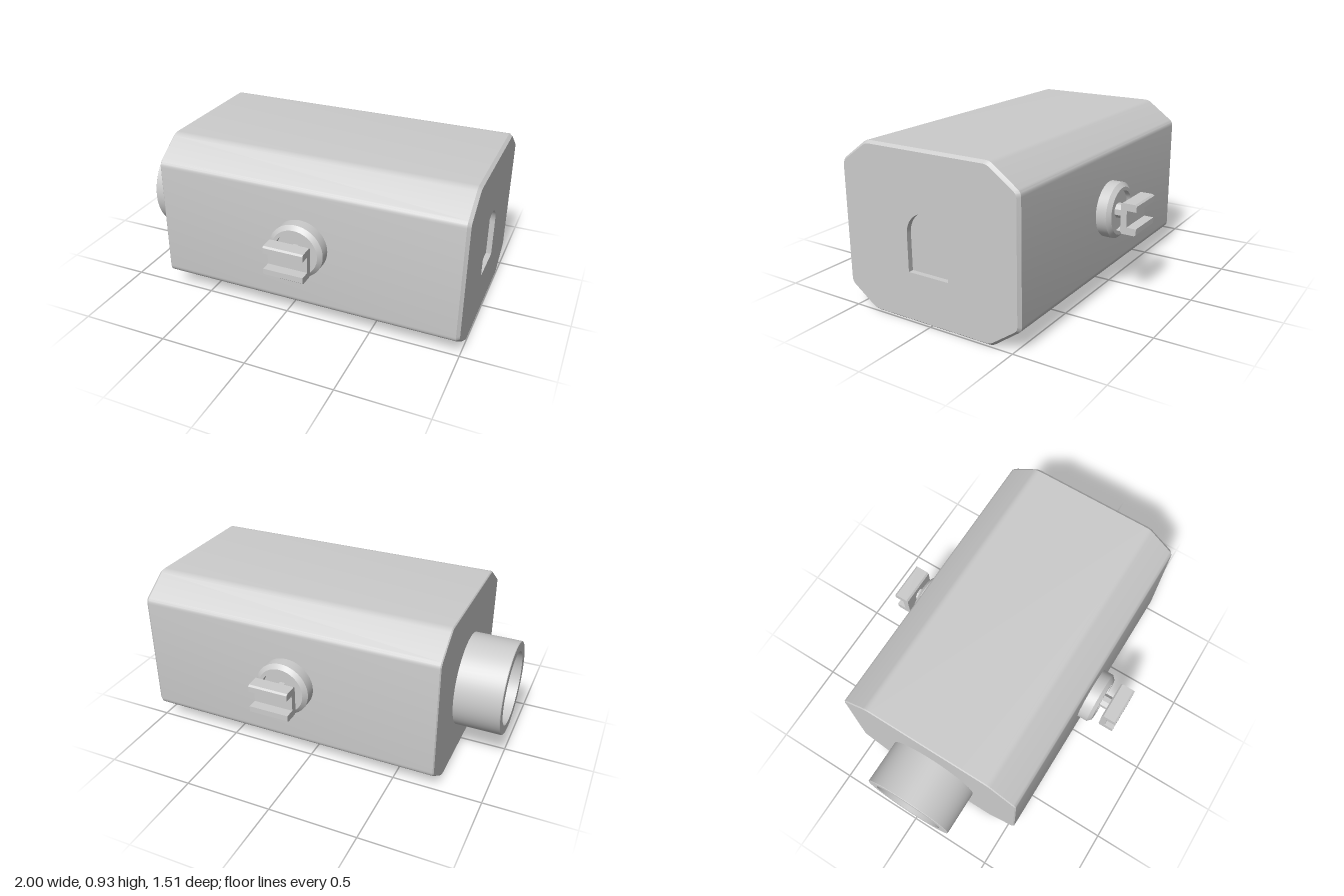
import * as THREE from 'three';
import { toCreasedNormals, mergeGeometries } from 'three/addons/utils/BufferGeometryUtils.js';

const V = (x, y) => new THREE.Vector2(x, y);

// Octagonal body section, inset by d, with softly rounded corners
function octagon(d) {
  const cy = 0.4625, w = 0.543 - d, h = cy - d, cw = 0.375 - d * 0.4, ch = 0.34 - d * 0.4;
  const c = [V(w, -ch), V(w, ch), V(cw, h), V(-cw, h), V(-w, ch), V(-w, -ch), V(-cw, -h), V(cw, -h)];
  return c.flatMap((p, i) => {
    const toward = (q) => p.clone().add(q.clone().sub(p).setLength(0.022));
    const a = toward(c[(i + 7) % 8]), b = toward(c[(i + 1) % 8]);
    return new THREE.QuadraticBezierCurve(a, p, b).getPoints(4).map((q) => V(q.x, q.y + cy));
  });
}

// Arched outline, anticlockwise
function arch(r, bottom, spring) {
  const pts = [V(-r, bottom), V(r, bottom)];
  for (let i = 0; i <= 24; i++) {
    const a = (i / 24) * Math.PI;
    pts.push(V(r * Math.cos(a), spring + r * Math.sin(a)));
  }
  return pts;
}

// Skin between outlines, given as [points, z]
function loft(rings) {
  const pos = [];
  for (let k = 0; k + 1 < rings.length; k++) {
    const [p, z] = rings[k], [q, y] = rings[k + 1], n = p.length;
    for (let i = 0; i < n; i++) {
      const j = (i + 1) % n;
      const a = [p[i].x, p[i].y, z], b = [p[j].x, p[j].y, z];
      const c = [q[j].x, q[j].y, y], d = [q[i].x, q[i].y, y];
      pos.push(...a, ...b, ...c, ...a, ...c, ...d);
    }
  }
  const g = new THREE.BufferGeometry();
  g.setAttribute('position', new THREE.Float32BufferAttribute(pos, 3));
  return g;
}

// Flat face with an optional hole
function face(points, hole) {
  const s = new THREE.Shape(points);
  if (hole) s.holes.push(new THREE.Path(hole));
  const g = new THREE.ShapeGeometry(s).toNonIndexed();
  g.deleteAttribute('uv');
  g.deleteAttribute('normal');
  return g;
}

const lathe = (pts, n) =>
  toCreasedNormals(new THREE.LatheGeometry(pts.map(([r, y]) => V(r, y)), n), 0.5);

export function createModel() {
  const model = new THREE.Group();
  const mat = new THREE.MeshStandardMaterial({ color: 0xcccccc });
  const add = (parent, name, geo) => {
    const m = new THREE.Mesh(geo, mat);
    m.name = name;
    parent.add(m);
    return m;
  };

  // Housing, with a shallow arched recess at one end and a bore at the other
  const left = -0.74, right = 1, floor = 0.97;
  const window = arch(0.125, 0.275, 0.48);
  const bore = new THREE.Path().absarc(0, 0.42, 0.21, 0, Math.PI * 2).getPoints(48);
  const body = mergeGeometries([
    loft([[octagon(0.006), left], [octagon(0), left + 0.006], [octagon(0), right - 0.018], [octagon(0.014), right]]),
    face(octagon(0.014), window).translate(0, 0, right),
    loft([[window, right], [window, floor]]),
    face(window).translate(0, 0, floor),
    face(octagon(0.006), bore).rotateY(Math.PI).translate(0, 0, left),
  ]);
  add(model, 'housing', toCreasedNormals(body.rotateY(Math.PI / 2), 0.35));

  // Open sleeve on the left end
  const sleeve = lathe([[0.266, 0.74], [0.266, 0.997], [0.263, 1], [0.21, 1], [0.21, 0.7], [0, 0.7]], 64);
  add(model, 'sleeve', sleeve.rotateZ(Math.PI / 2).translate(0, 0.42, 0));

  // Forked fittings on the front and back
  const forkPoints = [
    [0.667, 0.076], [0.667, -0.076], [0.676, -0.086], [0.747, -0.086], [0.757, -0.078], [0.757, -0.046],
    [0.702, -0.046], [0.702, 0.046], [0.757, 0.046], [0.757, 0.078], [0.747, 0.086], [0.676, 0.086],
  ];
  const fork = new THREE.ExtrudeGeometry(new THREE.Shape(forkPoints.map((p) => V(...p))), { depth: 0.225, bevelEnabled: false });
  fork.rotateY(-Math.PI / 2).translate(0.1125, 0, 0);
  const boss = lathe([[0.155, 0.53], [0.155, 0.602], [0.132, 0.623], [0.112, 0.623], [0.112, 0.595], [0, 0.595]], 48);
  boss.rotateX(Math.PI / 2);
  const stem = new THREE.CylinderGeometry(0.041, 0.041, 0.09, 8).toNonIndexed();
  stem.rotateY(Math.PI / 8).rotateX(Math.PI / 2).translate(0, 0, 0.63);
  stem.computeVertexNormals();

  for (const [name, turn] of [['frontFitting', 0], ['backFitting', Math.PI]]) {
    const g = new THREE.Group();
    g.name = name;
    add(g, 'boss', boss);
    add(g, 'stem', stem);
    add(g, 'fork', fork);
    g.position.set(0.112, 0.479, 0);
    g.rotation.y = turn;
    model.add(g);
  }
  return model;
}
